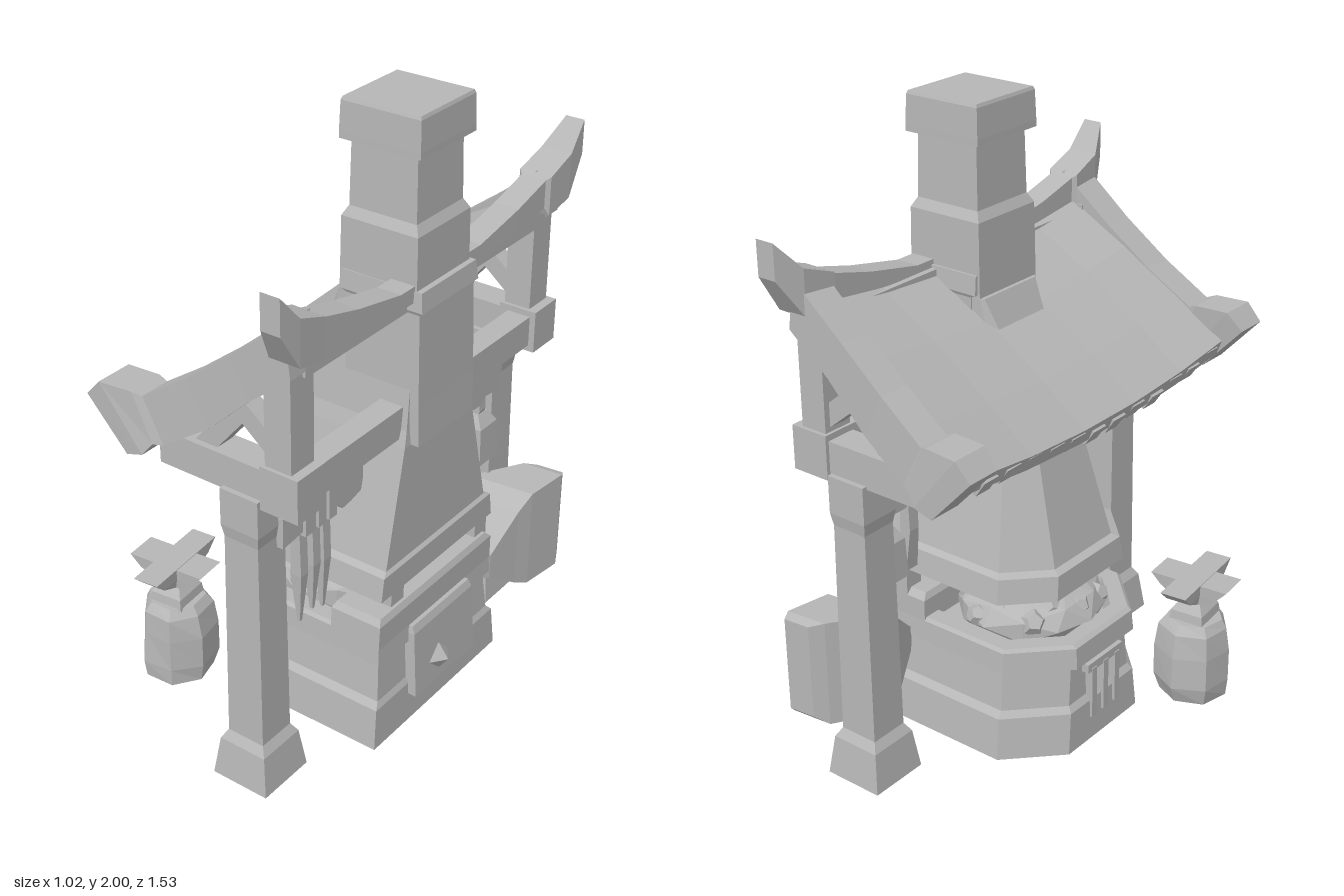
import * as THREE from 'three';

const stone = new THREE.MeshStandardMaterial({ color: 0xb6b6b6 });
stone.name = 'plain grey';

// Repeatable noise in -1..1
const noise = (n) => { const s = Math.sin(n * 127.1 + 3.7) * 43758.5453; return (s - Math.floor(s)) * 2 - 1; };

export function createModel() {
  const model = new THREE.Group();
  model.name = 'forge';
  const body = new THREE.Group();
  body.name = 'forgeHouse';
  body.rotation.y = -0.1;
  model.add(body);

  // Flat-shaded mesh from any geometry
  function add(name, geometry, parent = body) {
    const g = geometry.index ? geometry.toNonIndexed() : geometry;
    g.computeVertexNormals();
    const mesh = new THREE.Mesh(g, stone);
    mesh.name = name;
    parent.add(mesh);
    return mesh;
  }

  // Closed solid through equal-length rings of [x, y, z], turned to face outward
  function loft(name, rings, parent = body) {
    const n = rings[0].length, p = rings.flat(), tris = [];
    for (let r = 0; r < rings.length - 1; r++)
      for (let i = 0; i < n; i++) {
        const a = r * n + i, b = r * n + (i + 1) % n;
        tris.push([a, b, b + n], [a, b + n, a + n]);
      }
    const last = (rings.length - 1) * n;
    for (let i = 1; i < n - 1; i++) tris.push([0, i + 1, i], [last, last + i, last + i + 1]);
    const v = (i) => new THREE.Vector3(...p[i]);
    let volume = 0;
    for (const [a, b, c] of tris) volume += v(a).dot(v(b).cross(v(c)));
    const pos = [];
    for (const [a, b, c] of tris) for (const i of volume > 0 ? [a, b, c] : [a, c, b]) pos.push(...p[i]);
    const g = new THREE.BufferGeometry();
    g.setAttribute('position', new THREE.Float32BufferAttribute(pos, 3));
    return add(name, g, parent);
  }

  const block = (name, x0, x1, y0, y1, z0, z1) => {
    const m = add(name, new THREE.BoxGeometry(x1 - x0, y1 - y0, z1 - z0));
    m.position.set((x0 + x1) / 2, (y0 + y1) / 2, (z0 + z1) / 2);
    return m;
  };
  // Horizontal rectangle, and rectangle with its -x corners cut
  const rect = (y, x0, x1, z0, z1) => [[x0, y, z0], [x1, y, z0], [x1, y, z1], [x0, y, z1]];
  const foot = ([y, x0, x1, h, c]) => [[x1, h], [x0 + c, h], [x0, h - c], [x0, c - h], [x0 + c, -h], [x1, -h]]
    .map(([x, z]) => [x, y, z - 0.015]);

  // Hearth, hollow below, with stepped plinth, rim and sunken top
  loft('hearthBase', [
    [0.14, -0.2, 0.36, 0.29, 0.14], [0, -0.215, 0.38, 0.31, 0.15],
    [0, -0.255, 0.41, 0.34, 0.16], [0.14, -0.25, 0.405, 0.325, 0.16],
    [0.16, -0.235, 0.395, 0.305, 0.15], [0.3, -0.23, 0.385, 0.29, 0.15],
    [0.3, -0.26, 0.4, 0.31, 0.16], [0.37, -0.255, 0.395, 0.305, 0.16],
    [0.38, -0.24, 0.39, 0.295, 0.15], [0.38, -0.19, 0.34, 0.24, 0.12], [0.33, -0.18, 0.33, 0.23, 0.12],
  ].map(foot));
  loft('hearthBack', [rect(0.36, 0.22, 0.4, -0.32, 0.295), rect(0.44, 0.22, 0.4, -0.32, 0.29),
    rect(0.46, 0.23, 0.39, -0.3, 0.275)]);
  for (const s of [-1, 1]) block('hoodSupport', 0.29, 0.38, 0.44, 0.56, s * 0.23 - 0.09, s * 0.23 - 0.025);

  // Door with pointed knob on the chimney side
  loft('door', [rect(0.1, 0.38, 0.435, -0.19, 0.14), rect(0.33, 0.38, 0.42, -0.185, 0.135),
    rect(0.355, 0.38, 0.41, -0.18, 0.13)]);
  const knob = add('doorKnob', new THREE.OctahedronGeometry(0.05));
  knob.position.set(0.43, 0.18, 0.01);
  knob.scale.set(0.75, 1, 1);

  // Grate on the open side
  block('grateFrame', -0.257, -0.22, 0.25, 0.28, -0.1, 0.08);
  for (let i = -1; i <= 1; i++) block('grateBar', -0.26, -0.22, 0.08, 0.26, i * 0.06 - 0.022, i * 0.06 + 0.002);

  // Coals
  const mound = add('coalMound', new THREE.IcosahedronGeometry(1, 1));
  mound.scale.set(0.24, 0.11, 0.24);
  mound.position.set(0.04, 0.38, -0.01);
  for (let i = 0; i < 24; i++) {
    const a = i * 2.4, r = 0.045 * Math.sqrt(i);
    const coal = add('coal', new THREE.DodecahedronGeometry(0.036 + 0.008 * noise(i)));
    coal.position.set(0.04 + r * Math.cos(a), 0.465 - r * r * 1.5, -0.01 + r * Math.sin(a));
    coal.rotation.set(i, i * 2, i * 3);
  }

  // Hollow hood and chimney
  loft('hood', [
    [0.85, -0.07, 0.33, 0.18, 0.07], [0.53, -0.15, 0.37, 0.255, 0.11],
    [0.53, -0.2, 0.4, 0.3, 0.13], [0.61, -0.195, 0.4, 0.288, 0.13], [0.62, -0.17, 0.39, 0.265, 0.12],
    [1.0, -0.07, 0.385, 0.175, 0.07], [1.05, -0.055, 0.38, 0.16, 0.06], [1.25, 0.03, 0.375, 0.135, 0.04],
    [1.42, 0.11, 0.375, 0.13, 0.01],
  ].map(foot));
  loft('chimneyFront', [rect(1.0, 0.15, 0.412, -0.155, 0.13), rect(1.13, 0.15, 0.408, -0.155, 0.13),
    rect(1.42, 0.15, 0.4, -0.15, 0.125), rect(1.43, 0.13, 0.412, -0.155, 0.13), rect(1.49, 0.13, 0.405, -0.15, 0.125)]);
  const chimneyRing = ([y, h]) => rect(y, 0.255 - h, 0.255 + h, -0.01 - h, -0.01 + h);
  loft('chimney', [[1.25, 0.135], [1.65, 0.13], [1.68, 0.114], [1.89, 0.11]].map(chimneyRing));
  loft('chimneyCap', [[1.88, 0.135], [1.9, 0.135], [1.99, 0.132], [2, 0.128]].map(chimneyRing));

  // Timber frame, mirrored at both gables
  for (const s of [-1, 1]) {
    const z = s * 0.605 - 0.012;
    loft('post', [[0, 0.1], [0.13, 0.083], [0.16, 0.065], [0.86, 0.06], [0.9, 0.067], [1.02, 0.067]]
      .map(([y, h]) => rect(y, 0.177 - h, 0.177 + h, z - h, z + h)));
    block('gableTie', -0.12, 0.37, 1.01, 1.12, z - 0.05, z + 0.05);
    block('tieJoint', 0.25, 0.38, 1.0, 1.14, z - 0.062, z + 0.062);
    block('upperPost', 0.26, 0.35, 1.12, 1.5, z - 0.05, z + 0.05);
    // Braces inside the gable
    for (const [xa, ya, xb, yb] of [[0.3, 1.16, 0.08, 1.34], [0.02, 1.1, 0.18, 1.29]]) {
      const brace = add('gableBrace', new THREE.BoxGeometry(Math.hypot(xb - xa, yb - ya), 0.06, 0.06));
      brace.position.set((xa + xb) / 2, (ya + yb) / 2, z);
      brace.rotation.z = Math.atan2(yb - ya, xb - xa);
    }
    // Sloped gable beam with a heavy lower end: top x, y, bottom x, y, half width, centre z
    loft('gableBeam', [
      [-0.33, 1.19, -0.19, 1.04, 0.055, 0.665], [-0.28, 1.245, -0.13, 1.06, 0.062, 0.66],
      [-0.17, 1.245, -0.1, 1.1, 0.06, 0.65], [-0.14, 1.235, -0.07, 1.1, 0.052, 0.645],
      [0.01, 1.335, 0.08, 1.2, 0.052, 0.63], [0.16, 1.45, 0.22, 1.33, 0.052, 0.62],
      [0.34, 1.6, 0.36, 1.44, 0.055, 0.615],
    ].map(([xt, yt, xb, yb, h, c]) => [[xt, yt, -h], [xt, yt, h], [xb, yb, h], [xb, yb, -h]]
      .map(([px, py, pz]) => [px, py, pz + s * c - 0.015])));
    // Tool rail between post and hood
    loft('toolRail', [[0.19, 0.04], [0.25, 0.055], [0.29, 0.06], [0.31, 0.04], [0.39, 0.045], [0.41, 0.06],
      [0.46, 0.06], [0.48, 0.04], [0.57, 0.05]].map(([q, h]) =>
      [[0.2, 0.875 - h, s * q], [0.26, 0.875 - h, s * q], [0.26, 0.875 + h, s * q], [0.2, 0.875 + h, s * q]]));
  }
  block('longTie', 0.28, 0.36, 1.02, 1.12, -0.61, 0.59);
  block('purlin', 0.28, 0.36, 1.42, 1.48, -0.61, 0.59);

  // Sagging ridge with upturned, outward-leaning ends: z, bottom y, top y, half width, centre x
  const half = [[0.2, 1.455, 1.505, 0.04, 0.34], [0.4, 1.475, 1.545, 0.042, 0.34], [0.55, 1.495, 1.585, 0.042, 0.34],
    [0.56, 1.47, 1.595, 0.055, 0.34], [0.67, 1.49, 1.635, 0.052, 0.345], [0.745, 1.61, 1.72, 0.032, 0.36]];
  const ridge = [...half.map(([q, ...r]) => [-q, ...r]).reverse(), ...half];
  loft('ridgeBeam', ridge.map(([z, b, t, h, x]) => [[x - h, b], [x + h, b], [x + h, t], [x - h, t]]
    .map(([px, py]) => [px, py, z - 0.012])));

  // Sagging roof slab
  const slope = [[-0.26, 1.1], [-0.1, 1.215], [0.1, 1.35], [0.33, 1.485]];
  loft('roof', [-1, -0.6, -0.2, 0.2, 0.6, 1].map((t) => {
    const at = ([x, y], drop) => [x + drop * 0.4, y + 0.045 * t * t - drop, t * (0.62 - 0.05 * (x + 0.26)) - 0.01];
    return [...slope.map((q) => at(q, 0)), ...[...slope].reverse().map((q) => at(q, 0.05))];
  }));
  // Ragged eave ends
  for (let i = 0; i < 12; i++) {
    const z = -0.56 + i * 0.1, t = z / 0.62;
    const end = block('eaveEnd', -0.25, -0.16, 1.06, 1.12, z - 0.03, z + 0.03);
    end.position.y += 0.04 * t * t + 0.012 * noise(i);
    end.rotation.z = 0.6;
  }

  // Hanging tools: tongs on one side, hammer and bar on the other
  const spike = (name, z, w, top, bottom, tip) => loft(name, [rect(top, 0.215, 0.245, z - w, z + w),
    rect((top + bottom) / 2, 0.21, 0.25, z - w, z + w), rect(bottom, 0.225, 0.235, z - tip, z + tip)]);
  [[0.46, 0.5], [0.4, 0.51], [0.35, 0.49]].forEach(([z, low]) => {
    spike('tongs', z, 0.017, 0.84, low, 0.005);
    block('toolHook', 0.19, 0.27, 0.82, 0.93, z - 0.018, z + 0.018);
  });
  spike('ironBar', -0.365, 0.02, 0.86, 0.58, 0.025);
  spike('hammerHandle', -0.48, 0.018, 0.86, 0.7, 0.018);
  loft('hammerHead', [rect(0.6, 0.18, 0.28, -0.535, -0.43), rect(0.73, 0.185, 0.275, -0.53, -0.435),
    rect(0.77, 0.21, 0.25, -0.51, -0.455)]);

  // Bellows, skewed outward and narrowing to the hearth: z, x range, y range
  loft('bellows', [[-0.67, 0.41, 0.5, 0.17, 0.49], [-0.64, 0.37, 0.51, 0.14, 0.5], [-0.49, 0.25, 0.475, 0.14, 0.495],
    [-0.43, 0.26, 0.455, 0.17, 0.45], [-0.31, 0.3, 0.42, 0.25, 0.34], [-0.26, 0.33, 0.39, 0.27, 0.32]]
    .map(([z, x0, x1, y0, y1]) => [[x0, y0, z], [x1, y0, z], [x1, y1, z], [x0, y1, z]]), model);

  // Anvil on a rough stump
  const anvil = new THREE.Group();
  anvil.name = 'anvilStand';
  anvil.position.set(-0.38, 0, 0.325);
  model.add(anvil);
  loft('stump', [[0, 0.115], [0.06, 0.125], [0.17, 0.122], [0.25, 0.112], [0.28, 0.09]].map(([y, r], k) =>
    Array.from({ length: 7 }, (_, i) => {
      const a = i * Math.PI * 2 / 7 + 0.3, q = r * (1 + 0.06 * noise(k * 7 + i));
      return [q * Math.cos(a), y, q * Math.sin(a)];
    })), anvil);
  const anvilRing = ([y, a, b]) => rect(y, -a, a, -b, b);
  loft('anvilWaist', [[0.27, 0.06, 0.065], [0.31, 0.055, 0.06], [0.34, 0.035, 0.035], [0.38, 0.045, 0.05]].map(anvilRing), anvil);
  loft('anvilFace', [[0.35, 0.045, 0.05], [0.385, 0.1, 0.053], [0.422, 0.135, 0.055]].map(anvilRing), anvil);
  loft('anvilHorn', [[0.35, 0.035, 0.05], [0.385, 0.042, 0.12], [0.424, 0.044, 0.16]].map(anvilRing), anvil);

  return model;
}
